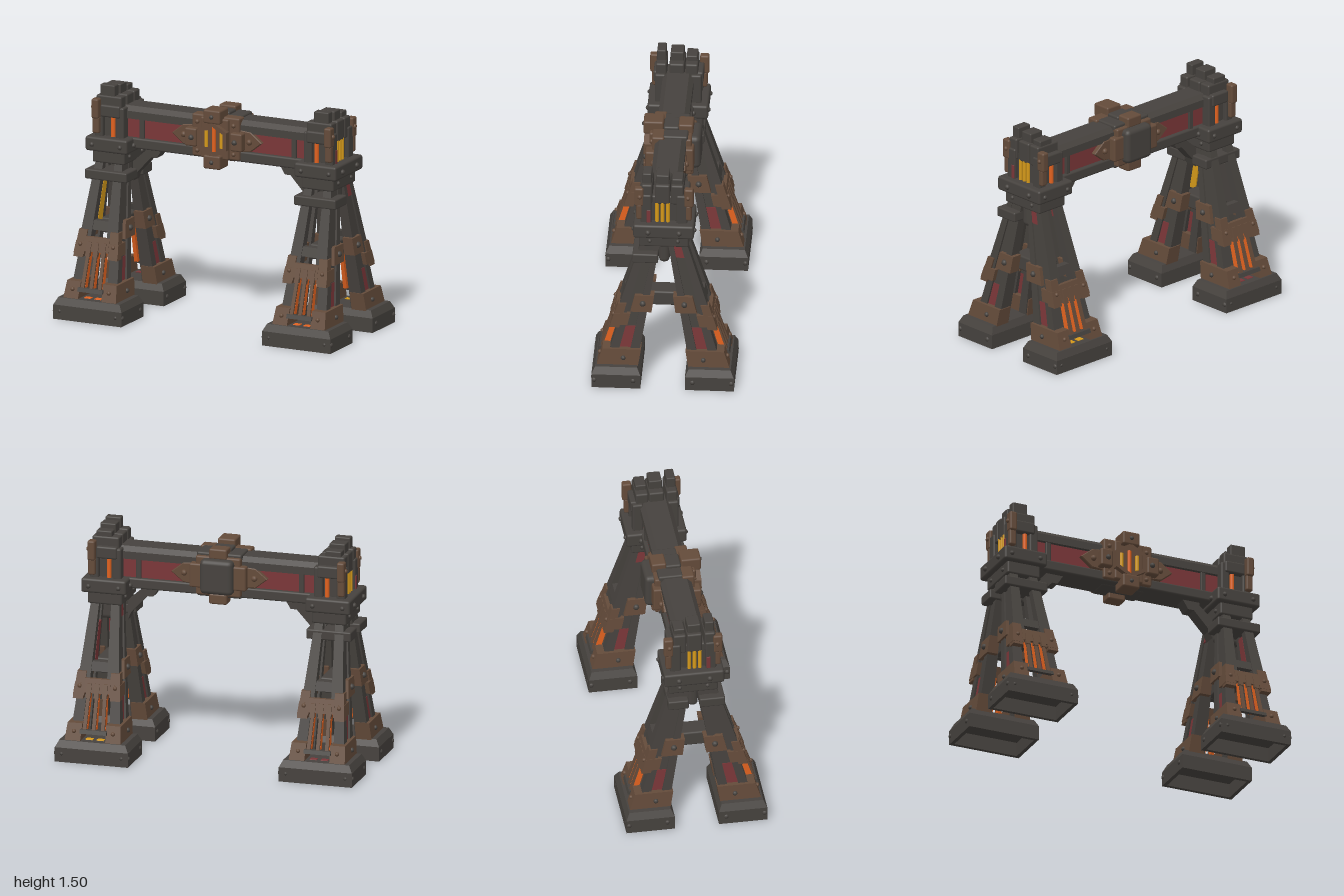
import * as THREE from 'three';
import { RoundedBoxGeometry } from 'three/addons/geometries/RoundedBoxGeometry.js';

const paint = (name, color) => Object.assign(new THREE.MeshStandardMaterial({ color }), { name });
const iron = paint('dark iron', 0x46423e);
const bronze = paint('bronze', 0x644b3a);
const red = paint('red panel', 0x7a3638);
const orange = paint('orange glow', 0xe2621f);
const yellow = paint('yellow glow', 0xd69a1a);

function add(parent, name, geometry, material) {
  const mesh = new THREE.Mesh(geometry, material);
  mesh.name = name;
  parent.add(mesh);
  return mesh;
}

// Softly bevelled block given by its limits on each axis
function block(parent, name, material, [x0, x1], [y0, y1], [z0, z1], bevel = 0.012) {
  const g = new RoundedBoxGeometry(x1 - x0, y1 - y0, z1 - z0, 2, bevel);
  g.translate((x0 + x1) / 2, (y0 + y1) / 2, (z0 + z1) / 2);
  return add(parent, name, g, material);
}

function bolt(parent, x, y, z, r = 0.018, material = iron) {
  add(parent, 'bolt', new THREE.SphereGeometry(r, 10, 8), material).position.set(x, y, z);
}

function rod(parent, name, material, x, y0, y1, z, r) {
  const g = new THREE.CylinderGeometry(r, r, y1 - y0, 10);
  add(parent, name, g, material).position.set(x, (y0 + y1) / 2, z);
}

const outline = (points) => points.map(([x, y]) => new THREE.Vector2(x, y));

function plate(points, depth, bevel = 0) {
  return new THREE.ExtrudeGeometry(new THREE.Shape(outline(points)), {
    depth, bevelEnabled: bevel > 0, bevelSize: bevel, bevelThickness: bevel, bevelSegments: 1,
  });
}

// Limits on the positive or negative side
const span = (s, a, b) => (s > 0 ? [a, b] : [-b, -a]);

// Leaning, tapering leg space: u across, v front to back, y up
function legPoint(u, v, y) {
  const t = (y - 0.14) / 0.86, mix = THREE.MathUtils.lerp;
  return new THREE.Vector3(u * mix(0.168, 0.095, t), y, mix(0.293, 0.088, t) + v * mix(0.125, 0.062, t));
}

function legBlock(parent, name, material, [u0, u1], [v0, v1], [y0, y1]) {
  const g = new THREE.BoxGeometry(u1 - u0, y1 - y0, v1 - v0);
  g.translate((u0 + u1) / 2, (y0 + y1) / 2, (v0 + v1) / 2);
  const p = g.attributes.position;
  for (let i = 0; i < p.count; i++) {
    const q = legPoint(p.getX(i), p.getZ(i), p.getY(i));
    p.setXYZ(i, q.x, q.y, q.z);
  }
  g.computeVertexNormals();
  return add(parent, name, g, material);
}

function legBolt(parent, u, v, y, r, material) {
  const q = legPoint(u, v, y);
  bolt(parent, q.x, q.y, q.z, r, material);
}

function buildFoot(parent) {
  // Hollow skirt, open underneath
  const skirt = new THREE.Shape(outline([[-0.245, -0.157], [0.245, -0.157], [0.245, 0.157], [-0.245, 0.157]]));
  skirt.holes.push(new THREE.Path(outline([[-0.22, -0.132], [-0.22, 0.132], [0.22, 0.132], [0.22, -0.132]])));
  const g = new THREE.ExtrudeGeometry(skirt, { depth: 0.095, bevelEnabled: false });
  g.rotateX(-Math.PI / 2);
  add(parent, 'foot skirt', g, iron).position.z = 0.3;
  // Sloping lid
  const lid = new THREE.BoxGeometry(0.49, 0.047, 0.314);
  const p = lid.attributes.position;
  for (let i = 0; i < p.count; i++) {
    if (p.getY(i) > 0) p.setXYZ(i, p.getX(i) * 0.9, p.getY(i), p.getZ(i) * 0.86);
  }
  lid.computeVertexNormals();
  add(parent, 'foot lid', lid, iron).position.set(0, 0.1175, 0.3);
  for (const s of [-1, 1]) {
    for (const z of [0.19, 0.44]) bolt(parent, s * 0.237, 0.055, z);
    bolt(parent, s * 0.2, 0.055, 0.45, 0.013);
  }
}

// collar: how far the neck collar reaches outward (0 for none)
// lining: material of the glowing inner wall, on the side liningSide
function buildLeg({ collar, lamp, lining, liningSide }) {
  const leg = new THREE.Group();
  leg.name = 'leg';
  buildFoot(leg);
  for (const s of [-1, 1]) {
    // Corner posts and the panel between them
    legBlock(leg, 'upper outer post', iron, span(s, 0.42, 1), [0.3, 0.96], [0.44, 1.03]);
    legBlock(leg, 'lower outer post', iron, span(s, 0.56, 1), [0.13, 0.64], [0.13, 0.46]);
    legBlock(leg, 'inner post', iron, span(s, 0.45, 1), [-1, -0.48], [0.13, 1.03]);
    legBlock(leg, 'red side panel', red, span(s, 0.72, 0.92), [-0.49, 0.14], [0.22, 0.4]);
    legBlock(leg, 'dark side panel', iron, span(s, 0.72, 0.9), [-0.49, 0.32], [0.4, 0.9]);
    legBlock(leg, 'upper side panel', collar ? iron : red, span(s, 0.72, 0.97), [-0.49, 0.32], [0.9, 1.0]);
    // Bronze armour
    legBlock(leg, 'ankle cuff', bronze, span(s, 0.5, 1.12), [-1.06, 1.06], [0.13, 0.25]);
    legBlock(leg, 'shin guard', bronze, span(s, 0.58, 1.1), [0.05, 1.1], [0.42, 0.5]);
    legBlock(leg, 'shin guard tip', bronze, span(s, 0.62, 1.08), [0.5, 1.08], [0.4, 0.57]);
    legBlock(leg, 'knee block', bronze, span(s, 0.55, 1.1), [-1.3, 0.1], [0.515, 0.63]);
    legBolt(leg, s * 1.1, -0.6, 0.575, 0.02, iron);
    legBolt(leg, s * 1.12, -0.2, 0.19, 0.016, iron);
    legBolt(leg, s * 0.8, 1.08, 0.2, 0.014, bronze);
    legBolt(leg, s * 0.85, 1.1, 0.48, 0.014, bronze);
    legBlock(leg, 'foot lamp', lamp, span(s, 0.08, 0.36), [0.45, 0.75], [0.13, 0.145]);
  }
  // Glowing grille on the outward face
  legBlock(leg, 'grille header', bronze, [-0.62, 0.62], [0.88, 1.12], [0.44, 0.53]);
  legBlock(leg, 'grille sill', iron, [-0.55, 0.55], [0.95, 1.18], [0.19, 0.215]);
  for (const u of [-0.38, 0, 0.38]) {
    legBlock(leg, 'glow strip', orange, [u - 0.08, u + 0.08], [0.66, 0.99], [0.21, 0.45]);
    legBlock(leg, 'grille bar', bronze, [u - 0.075, u + 0.075], [0.99, 1.1], [0.2, 0.48]);
    legBlock(leg, 'grille clip', bronze, [u - 0.11, u + 0.11], [0.95, 1.18], [0.41, 0.5]);
  }
  legBlock(leg, 'post tie', iron, [-0.7, 0.7], [0.45, 0.9], [0.57, 0.63]);
  legBlock(leg, 'inner lining', lining, span(liningSide, 0.4, 0.72), [-0.45, 0.3], [0.6, 0.86]);
  if (collar) block(leg, 'collar', iron, [-0.15, 0.15], [0.88, 0.945], [0.035, collar], 0.01);
  return leg;
}

// Support tower, local +x pointing outward; face tells which local z is the front
function buildTower(face, frontLeg, backLeg) {
  const tower = new THREE.Group();
  tower.name = 'tower';
  const legs = [buildLeg(frontLeg), buildLeg(backLeg)];
  legs[face > 0 ? 1 : 0].rotation.y = Math.PI;
  tower.add(...legs);
  block(tower, 'leg crossbar', iron, [-0.065, 0.065], [0.52, 0.62], [-0.14, 0.14]);
  block(tower, 'keystone', iron, [-0.09, 0.09], [0.85, 1.04], [-0.035, 0.035], 0.03);
  block(tower, 'neck', iron, [-0.115, 0.115], [0.985, 1.08], [-0.16, 0.16]);
  block(tower, 'capital', iron, [-0.15, 0.15], [1.065, 1.16], [-0.195, 0.195], 0.015);
  block(tower, 'core', iron, [-0.075, 0.075], [1.15, 1.34], [-0.12, 0.12]);

  for (const z of [-1, 1]) {
    for (const x of [-1, 1]) {
      block(tower, 'corner column', iron, span(x, 0.045, 0.105), [1.15, 1.36], span(z, 0.08, 0.15));
      bolt(tower, x * 0.15, 1.11, z * 0.1);
      bolt(tower, x * 0.1, 1.11, z * 0.193, 0.016);
      bolt(tower, x * 0.115, 1.03, z * 0.09, 0.014);
    }
    block(tower, 'bronze shoulder', bronze, [0.06, 0.11], [1.28, 1.41], span(z, 0.13, 0.19));
    block(tower, 'bronze side guard', bronze, [0.06, 0.108], [1.18, 1.29], span(z, 0.14, 0.178));
    block(tower, 'iron shoulder', iron, [-0.08, 0.06], [1.29, 1.37], span(z, 0.11, 0.16));
    rod(tower, 'front glow tube', orange, -0.02, 1.16, 1.29, z * 0.128, 0.015);
    bolt(tower, 0.11, 1.35, z * 0.155, 0.015, bronze);
  }
  block(tower, 'red end panel', red, [0.08, 0.109], [1.16, 1.25], span(face, 0.085, 0.11), 0.003);
  // Yellow lamps on the outer end
  for (const z of [-0.025, 0.01, 0.045]) rod(tower, 'lamp tube', yellow, 0.085, 1.16, 1.3, z * face, 0.012);

  // Crown of three stepped prongs
  for (const [z, w, top] of [[0.11, 0.058, 1.5], [0.01, 0.085, 1.49], [-0.085, 0.07, 1.465]]) {
    const reach = (m) => [z * face - w / 2 - m, z * face + w / 2 + m];
    block(tower, 'prong base', iron, [-0.085, 0.095], [1.29, 1.43], reach(0.006));
    block(tower, 'prong', iron, [-0.035, 0.07], [1.38, top], reach(0), 0.008);
  }
  // Diagonal brace towards the beam
  const brace = plate([[-0.12, 0.86], [-0.12, 0.99], [-0.21, 1.07], [-0.21, 1.11], [-0.34, 1.11],
    [-0.29, 1.03], [-0.25, 1.03], [-0.14, 0.91]], 0.09);
  add(tower, 'brace', brace, iron).position.z = -0.045;
  return tower;
}

function buildBeam() {
  const beam = new THREE.Group();
  beam.name = 'beam';
  const rail = plate([[-0.1, 1.285], [0.1, 1.285], [0.1, 1.335], [0.07, 1.365], [-0.07, 1.365], [-0.1, 1.335]], 1.36);
  rail.rotateY(Math.PI / 2);
  add(beam, 'upper rail', rail, iron).position.x = -0.68;
  block(beam, 'lower rail', iron, [-0.68, 0.68], [1.09, 1.16], [-0.1, 0.1]);
  block(beam, 'red web', red, [-0.68, 0.68], [1.15, 1.3], [-0.075, 0.075], 0.004);
  for (const x of [-0.545, 0.545]) {
    block(beam, 'rib', iron, [x - 0.017, x + 0.017], [1.14, 1.3], [-0.092, 0.092], 0.006);
  }
  return beam;
}

function buildHub() {
  const hub = new THREE.Group();
  hub.name = 'hub';
  block(hub, 'hub front', bronze, [-0.17, 0.17], [1.1, 1.38], [0.04, 0.12]);
  block(hub, 'hub core', iron, [-0.15, 0.15], [1.085, 1.38], [-0.11, 0.05]);
  block(hub, 'front cross plate', bronze, [-0.1, 0.1], [1.1, 1.37], [0.08, 0.14]);
  for (const [y0, y1] of [[1.34, 1.43], [1.04, 1.13]]) {
    block(hub, 'front crest', bronze, [-0.06, 0.06], [y0, y1], [0.05, 0.18]);
    block(hub, 'rear crest', bronze, [-0.06, 0.06], [y0 + 0.005, y1 - 0.015], [-0.14, -0.045]);
    bolt(hub, 0, (y0 + y1) / 2, 0.178, 0.015);
  }
  block(hub, 'top cap', iron, [-0.065, 0.065], [1.34, 1.4], [-0.05, 0.05]);
  block(hub, 'rear shield', iron, [-0.11, 0.11], [1.12, 1.35], [-0.19, -0.1], 0.03);

  // Hexagonal window with glowing tubes
  const hex = (r) => Array.from({ length: 6 }, (_, i) =>
    new THREE.Vector2(r * Math.sin(i * Math.PI / 3), r * Math.cos(i * Math.PI / 3)));
  const ring = new THREE.Shape(hex(0.12));
  ring.holes.push(new THREE.Path(hex(0.092)));
  const ringGeo = new THREE.ExtrudeGeometry(ring, { depth: 0.045, bevelEnabled: false });
  add(hub, 'window ring', ringGeo, bronze).position.set(0, 1.23, 0.13);
  [-0.055, 0, 0.055].forEach((x, i) => {
    const h = 0.08 - Math.abs(x) * 0.5;
    rod(hub, 'window tube', i === 1 ? orange : yellow, x, 1.23 - h, 1.23 + h, 0.142, 0.013);
  });

  for (const s of [-1, 1]) {
    // Pointed plates lying against the red web
    for (const z of [-0.1, 0.07]) {
      const pts = [[0.12, 1.16], [0.24, 1.17], [0.315, 1.23], [0.24, 1.29], [0.12, 1.3]];
      add(hub, 'side arrow', plate(pts.map(([x, y]) => [s * x, y]), 0.03, 0.005), bronze).position.z = z;
    }
    block(hub, 'side clamp', bronze, span(s, 0.12, 0.205), [1.17, 1.29], [0.05, 0.16]);
    block(hub, 'rear side clamp', bronze, span(s, 0.09, 0.19), [1.15, 1.31], [-0.15, -0.06]);
    block(hub, 'rear corner', bronze, span(s, 0.05, 0.15), [1.1, 1.36], [-0.135, -0.08]);
    bolt(hub, s * 0.155, 1.23, 0.16);
    for (const z of [-0.105, 0.105]) bolt(hub, s * 0.235, 1.23, z, 0.02, bronze);
    for (const y of [1.14, 1.33]) bolt(hub, s * 0.13, y, 0.122, 0.015, bronze);
  }
  return hub;
}

export function createModel() {
  const model = new THREE.Group();
  model.name = 'industrial gateway';
  const left = buildTower(1,
    { collar: 0.2, lamp: orange, lining: red, liningSide: 1 },
    { collar: 0, lamp: yellow, lining: red, liningSide: -1 });
  left.position.x = 0.75;
  const right = buildTower(-1,
    { collar: 0.2, lamp: orange, lining: yellow, liningSide: -1 },
    { collar: 0.17, lamp: red, lining: iron, liningSide: 1 });
  right.position.x = -0.75;
  right.rotation.y = Math.PI;
  model.add(left, right, buildBeam(), buildHub());
  return model;
}
